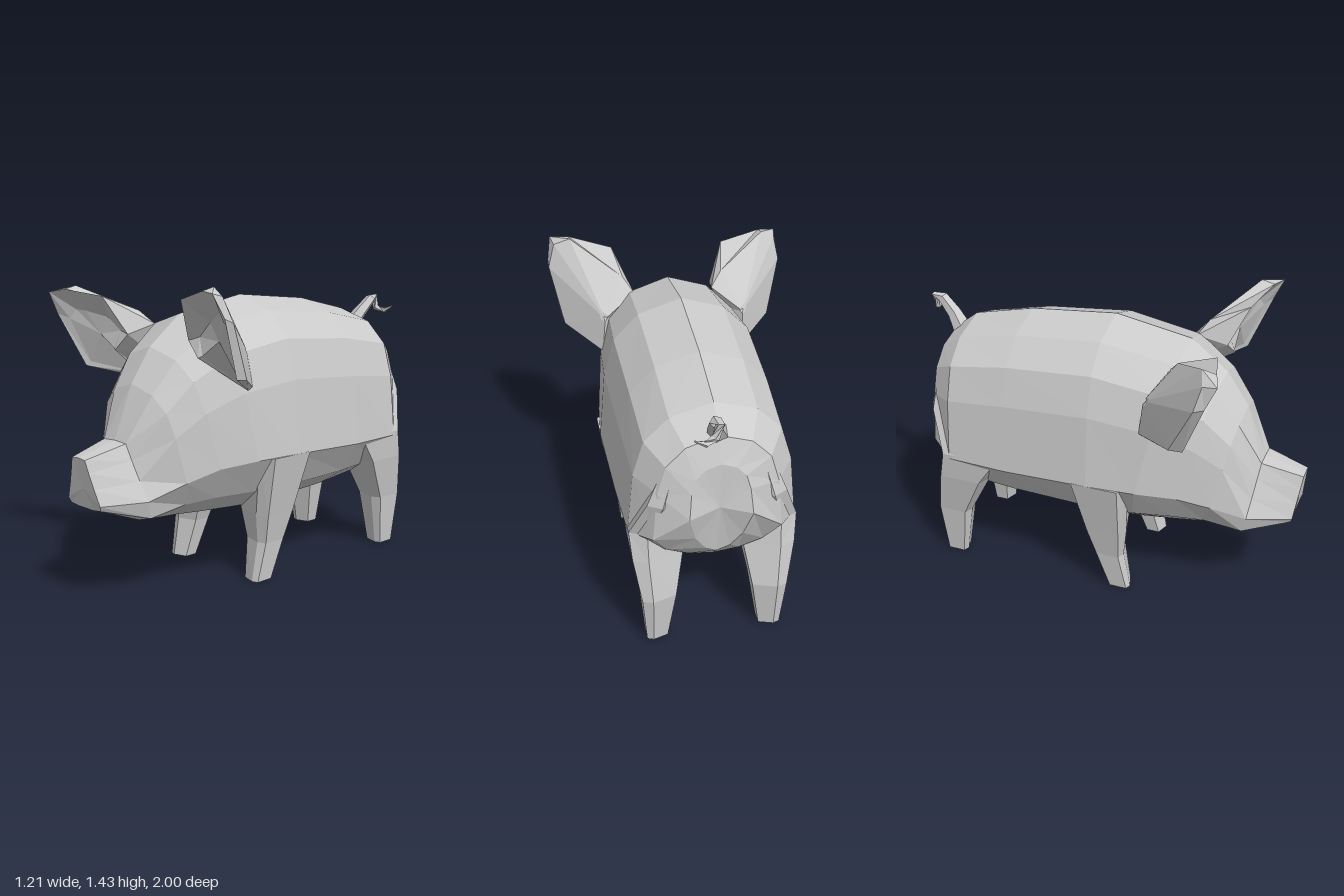
import * as THREE from 'three';

const MID = 0.025; // body axis
const V = (x, y, z) => new THREE.Vector3(x, y, z);

// Skin closed loops of equal length, cap both ends, and face the result outward.
function loft(loops) {
  const n = loops[0].length;
  const pts = loops.flat();
  const tris = [];
  for (let i = 0; i < loops.length - 1; i++) {
    for (let j = 0; j < n; j++) {
      const a = i * n + j, b = i * n + (j + 1) % n;
      tris.push([a, b, b + n], [a, b + n, a + n]);
    }
  }
  const cap = (loop, start, flip) => {
    const c = pts.length;
    pts.push(loop.reduce((s, p) => s.add(p), V(0, 0, 0)).divideScalar(n));
    for (let j = 0; j < n; j++) {
      const a = start + j, b = start + (j + 1) % n;
      tris.push(flip ? [c, b, a] : [c, a, b]);
    }
  };
  cap(loops[0], 0, true);
  cap(loops[loops.length - 1], (loops.length - 1) * n, false);
  let volume = 0;
  for (const [a, b, c] of tris) volume += pts[a].dot(V(0, 0, 0).crossVectors(pts[b], pts[c]));
  if (volume < 0) tris.forEach(t => t.reverse());
  const geo = new THREE.BufferGeometry().setFromPoints(pts);
  geo.setIndex(tris.flat());
  geo.computeVertexNormals();
  return geo;
}

// Half profiles (width, height); height is measured from the widest line.
const BARREL = [[0, 1], [0.5, 0.91], [0.79, 0.74], [0.92, 0.48], [1, 0], [0.76, -0.55], [0.4, -0.88], [0, -1]];
const SNOUT = [[0, 1], [0.4, 0.98], [0.55, 0.7], [0.76, 0.35], [1, 0], [0.92, -0.75], [0.45, -1], [0, -1]];

function bodyRing(half, [w, yTop, yMid, yBot, zTop, zMid, zBot]) {
  const profile = [...half, ...half.slice(1, -1).reverse().map(([x, y]) => [-x, y])];
  return profile.map(([x, t]) => {
    const y = t > 0 ? yTop : yBot, z = t > 0 ? zTop : zBot, k = Math.abs(t);
    return V(MID + x * w, yMid + (y - yMid) * k, zMid + (z - zMid) * k);
  });
}

function bodyGeometry() {
  // half width, y of top / widest / bottom, z of top / widest / bottom
  const snout = [
    [0.12, 0.685, 0.48, 0.45, 1.0, 0.975, 0.965],
    [0.2, 0.735, 0.48, 0.37, 0.8, 0.77, 0.74],
  ];
  const barrel = [
    [0.275, 0.98, 0.55, 0.335, 0.7, 0.61, 0.53],
    [0.335, 1.14, 0.6, 0.32, 0.59, 0.46, 0.38],
    [0.395, 1.28, 0.62, 0.31, 0.41, 0.27, 0.2],
    [0.415, 1.35, 0.62, 0.3, 0.03, 0.03, 0],
    [0.4, 1.31, 0.6, 0.325, -0.41, -0.41, -0.4],
    [0.385, 1.24, 0.6, 0.35, -0.72, -0.72, -0.62],
    [0.29, 1.15, 0.64, 0.44, -0.84, -0.85, -0.75],
    [0.14, 1.03, 0.78, 0.53, -0.88, -0.92, -0.84],
  ];
  return loft([...snout.map(r => bodyRing(SNOUT, r)), ...barrel.map(r => bodyRing(BARREL, r))]);
}

// Leg: six-sided sections given as y, inner x, outer x, front z, back z.
const SECTION = [[1, 0.8], [0.4, 1], [-1, 0.6], [-1, -0.6], [0.4, -1], [1, -0.8]];
function legGeometry(levels, side) {
  return loft(levels.map(([y, xi, xo, zf, zb]) => SECTION.map(([u, v]) => V(
    MID + side * ((xi + xo) / 2 + u * (xo - xi) / 2), y, (zf + zb) / 2 + v * (zf - zb) / 2))));
}
const FRONT_LEG = [
  [0.0, 0.22, 0.32, 0.22, 0.11],
  [0.19, 0.19, 0.335, 0.185, 0.04],
  [0.33, 0.15, 0.36, 0.2, -0.005],
  [0.62, 0.16, 0.415, 0.22, -0.075],
];
const HIND_LEG = [
  [0.0, 0.22, 0.32, -0.7, -0.81],
  [0.26, 0.18, 0.34, -0.66, -0.84],
  [0.48, 0.14, 0.375, -0.54, -0.81],
  [0.62, 0.12, 0.385, -0.43, -0.79],
  [0.82, 0.1, 0.31, -0.5, -0.87],
  [1.02, 0.1, 0.23, -0.6, -0.85],
];

// Ear: convex back, front rim, then a cupped front; tilt turns it about its root.
function earGeometry(side, tilt) {
  const back = [
    V(0.26, 1.1, 0.4), V(0.2, 1.22, 0.38), V(0.25, 1.29, 0.43), V(0.49, 1.435, 0.615),
    V(0.57, 1.4, 0.64), V(0.605, 1.29, 0.61), V(0.55, 1.03, 0.48), V(0.38, 0.96, 0.28),
  ];
  const spine = V(0.36, 1.13, 0.3);
  const crown = back.map(p => p.clone().lerp(spine, 0.9));
  const rim = [
    V(0.31, 1.11, 0.55), V(0.225, 1.18, 0.53), V(0.28, 1.37, 0.62), V(0.49, 1.42, 0.68),
    V(0.585, 1.415, 0.71), V(0.605, 1.31, 0.66), V(0.56, 1.04, 0.55), V(0.39, 0.95, 0.32),
  ];
  const cup = [
    V(0.33, 1.12, 0.54), V(0.29, 1.2, 0.52), V(0.37, 1.27, 0.53), V(0.47, 1.31, 0.585),
    V(0.52, 1.32, 0.605), V(0.56, 1.28, 0.62), V(0.54, 1.06, 0.535), V(0.39, 0.98, 0.35),
  ];
  const geo = loft([crown, back, rim, cup].map(l => l.map(p => V(p.x * side, p.y, p.z))));
  const root = V(0.15 * side, 1.25, 0);
  return geo.translate(-root.x, -root.y, 0).rotateZ(tilt).translate(root.x, root.y, 0);
}

// Tail: tapering five-sided curl.
function tailGeometry() {
  const path = [
    V(0.02, 1.13, -0.8), V(0.045, 1.21, -0.86), V(0.06, 1.28, -0.93), V(0.05, 1.29, -0.965),
    V(0.07, 1.23, -0.965), V(0.11, 1.215, -0.985), V(0.16, 1.24, -0.99),
  ];
  const radii = [0.05, 0.036, 0.028, 0.022, 0.019, 0.014, 0.004];
  return loft(path.map((p, i) => {
    const dir = path[Math.min(i + 1, 6)].clone().sub(path[Math.max(i - 1, 0)]).normalize();
    const turn = new THREE.Quaternion().setFromUnitVectors(V(0, 1, -1).normalize(), dir);
    const across = V(1, 0, 0).applyQuaternion(turn);
    const up = V(0, 0, 0).crossVectors(dir, across);
    return Array.from({ length: 5 }, (_, k) => {
      const a = k * Math.PI * 2 / 5;
      return p.clone().addScaledVector(across, Math.cos(a) * radii[i]).addScaledVector(up, Math.sin(a) * radii[i]);
    });
  }));
}

export function createModel() {
  const group = new THREE.Group();
  group.name = 'pig';
  const material = new THREE.MeshStandardMaterial({ color: 0xcccccc, flatShading: true });
  const add = (name, geometry) => {
    const mesh = new THREE.Mesh(geometry, material);
    mesh.name = name;
    group.add(mesh);
  };
  add('body', bodyGeometry());
  add('tail', tailGeometry());
  for (const [label, side, earTilt] of [['left', 1, 0], ['right', -1, 0.12]]) {
    add(label + 'FrontLeg', legGeometry(FRONT_LEG, side));
    add(label + 'HindLeg', legGeometry(HIND_LEG, side));
    add(label + 'Ear', earGeometry(side, earTilt));
  }
  return group;
}
